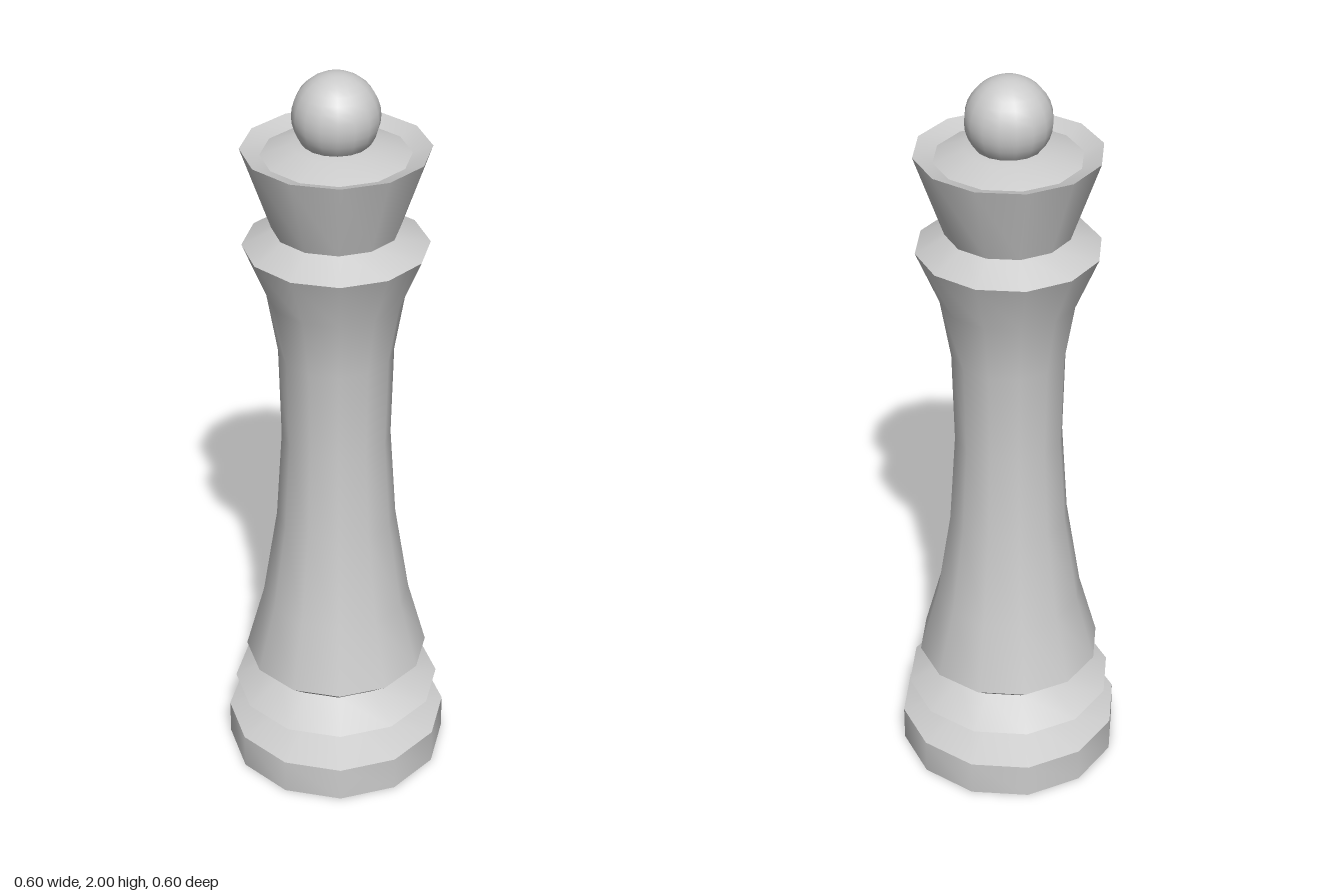
import * as THREE from 'three';
import { toCreasedNormals } from 'three/addons/utils/BufferGeometryUtils.js';

const material = new THREE.MeshStandardMaterial({ color: 0xcccccc });

// Twelve-sided turned part; profile is [radius, height] from bottom to top
function turned(name, profile) {
  const points = profile.map(([r, y]) => new THREE.Vector2(r, y));
  const geometry = toCreasedNormals(new THREE.LatheGeometry(points, 12), 0.6);
  const mesh = new THREE.Mesh(geometry, material);
  mesh.name = name;
  return mesh;
}

export function createModel() {
  const group = new THREE.Group();
  group.name = 'chessPiece';

  // Foot with a sloped top
  group.add(turned('base', [[0, 0], [0.3, 0], [0.3, 0.1], [0.15, 0.153]]));

  // Sharp-edged ring above the foot
  group.add(turned('baseRing', [[0.15, 0.153], [0.28, 0.203], [0.18, 0.257]]));

  // Waisted shaft flaring into a collar
  group.add(turned('shaft', [
    [0.18, 0.257], [0.247, 0.315], [0.197, 0.5], [0.158, 0.75], [0.142, 1],
    [0.148, 1.25], [0.175, 1.41], [0.234, 1.552], [0.138, 1.6],
  ]));

  // Flared crown with a dished top rising to the centre
  group.add(turned('crown', [
    [0, 1.598], [0.16, 1.598], [0.234, 1.81], [0.185, 1.793], [0.11, 1.82], [0, 1.83],
  ]));

  // Ball finial
  const ball = new THREE.Mesh(new THREE.SphereGeometry(0.108, 16, 16), material);
  ball.name = 'finial';
  ball.position.y = 1.892;
  group.add(ball);

  return group;
}
